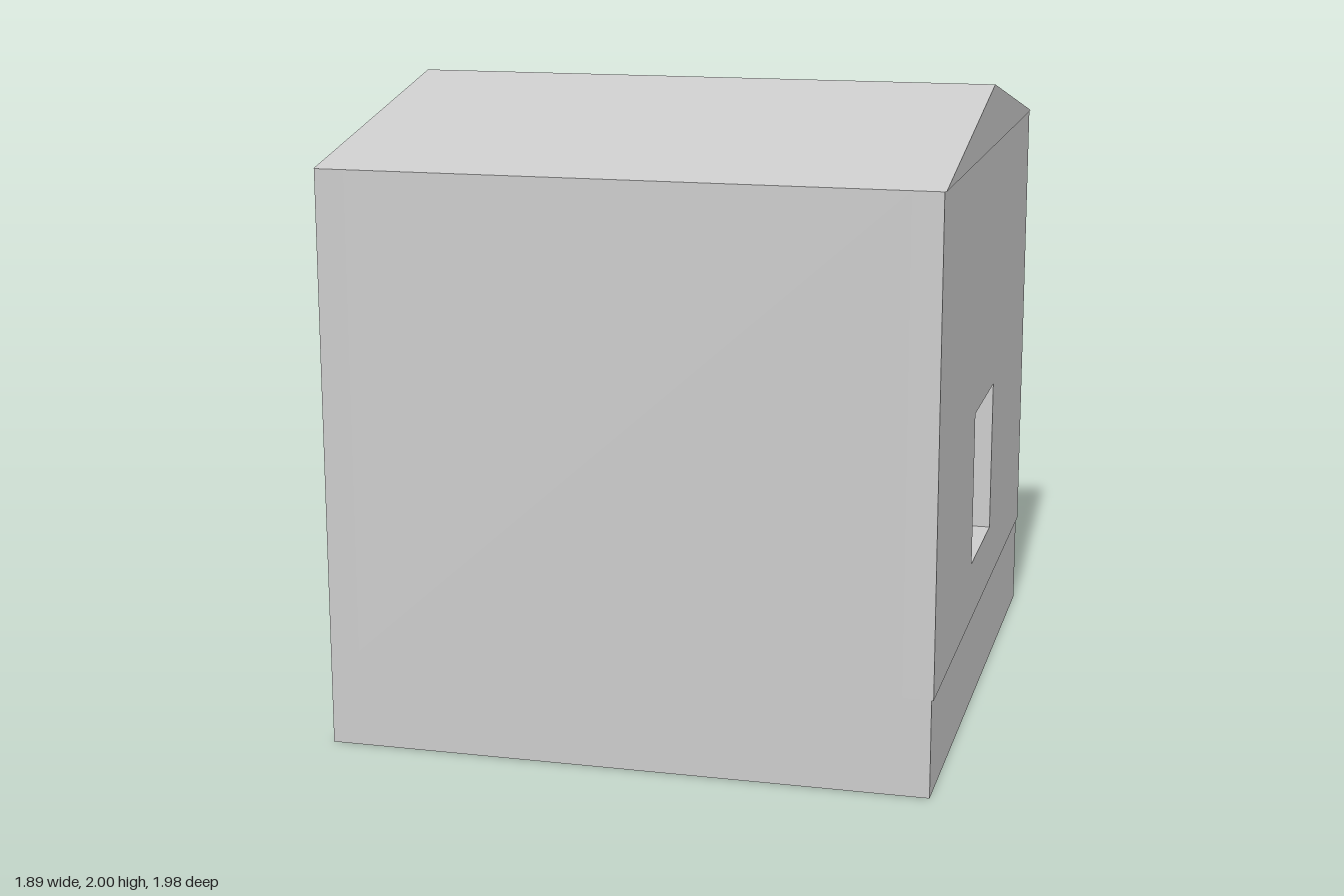
import * as THREE from 'three';

const material = new THREE.MeshStandardMaterial({ color: 0xcccccc, flatShading: true });

const X0 = -0.945, X1 = 0.94;   // outer faces of the end walls
const Z = 0.99;                 // outer faces of the long walls
const FLOOR = 0.305, EAVES = 1.805, RIDGE = 2;
const T = 0.092;                // wall thickness

function polygon(points) {
  return new THREE.Shape(points.map(([x, y]) => new THREE.Vector2(x, y)));
}

// Extrudes a (-z, y) outline along x, from x0 to x1
function extrudeAlongX(name, shape, x0, x1) {
  const geometry = new THREE.ExtrudeGeometry(shape, { depth: x1 - x0, bevelEnabled: false });
  geometry.rotateY(Math.PI / 2).translate(x0, 0, 0);
  const mesh = new THREE.Mesh(geometry, material);
  mesh.name = name;
  return mesh;
}

function box(name, x0, x1, y0, y1, z0, z1) {
  const mesh = new THREE.Mesh(new THREE.BoxGeometry(x1 - x0, y1 - y0, z1 - z0), material);
  mesh.position.set((x0 + x1) / 2, (y0 + y1) / 2, (z0 + z1) / 2);
  mesh.name = name;
  return mesh;
}

export function createModel() {
  const house = new THREE.Group();
  house.name = 'house';

  // Solid plinth; its top is the floor
  house.add(box('plinth', X0, 0.934, 0, FLOOR, -Z, Z));

  // Long walls
  house.add(box('frontWall', X0 + T, X1 - T, FLOOR, EAVES, Z - T, Z));
  house.add(box('backWall', X0 + T, X1 - T, FLOOR, EAVES, -Z, -Z + T));

  // End wall with a small window
  const windowWall = polygon([[-Z, FLOOR], [Z, FLOOR], [Z, EAVES], [-Z, EAVES]]);
  windowWall.holes.push(polygon([[-0.238, 0.497], [-0.238, 0.99], [0.188, 0.99], [0.188, 0.497]]));
  house.add(extrudeAlongX('windowWall', windowWall, X1 - T, X1));

  // End wall with a wide doorway reaching down to the floor
  const d = 0.427, top = 1.25;
  const doorWall = polygon([
    [-Z, FLOOR], [-d, FLOOR], [-d, top], [d, top], [d, FLOOR], [Z, FLOOR], [Z, EAVES], [-Z, EAVES],
  ]);
  house.add(extrudeAlongX('doorWall', doorWall, X0, X0 + T));

  // Low gabled roof, closed underneath
  const gable = polygon([[-Z, EAVES], [Z, EAVES], [0, RIDGE]]);
  house.add(extrudeAlongX('roof', gable, -0.947, 0.945));

  return house;
}
